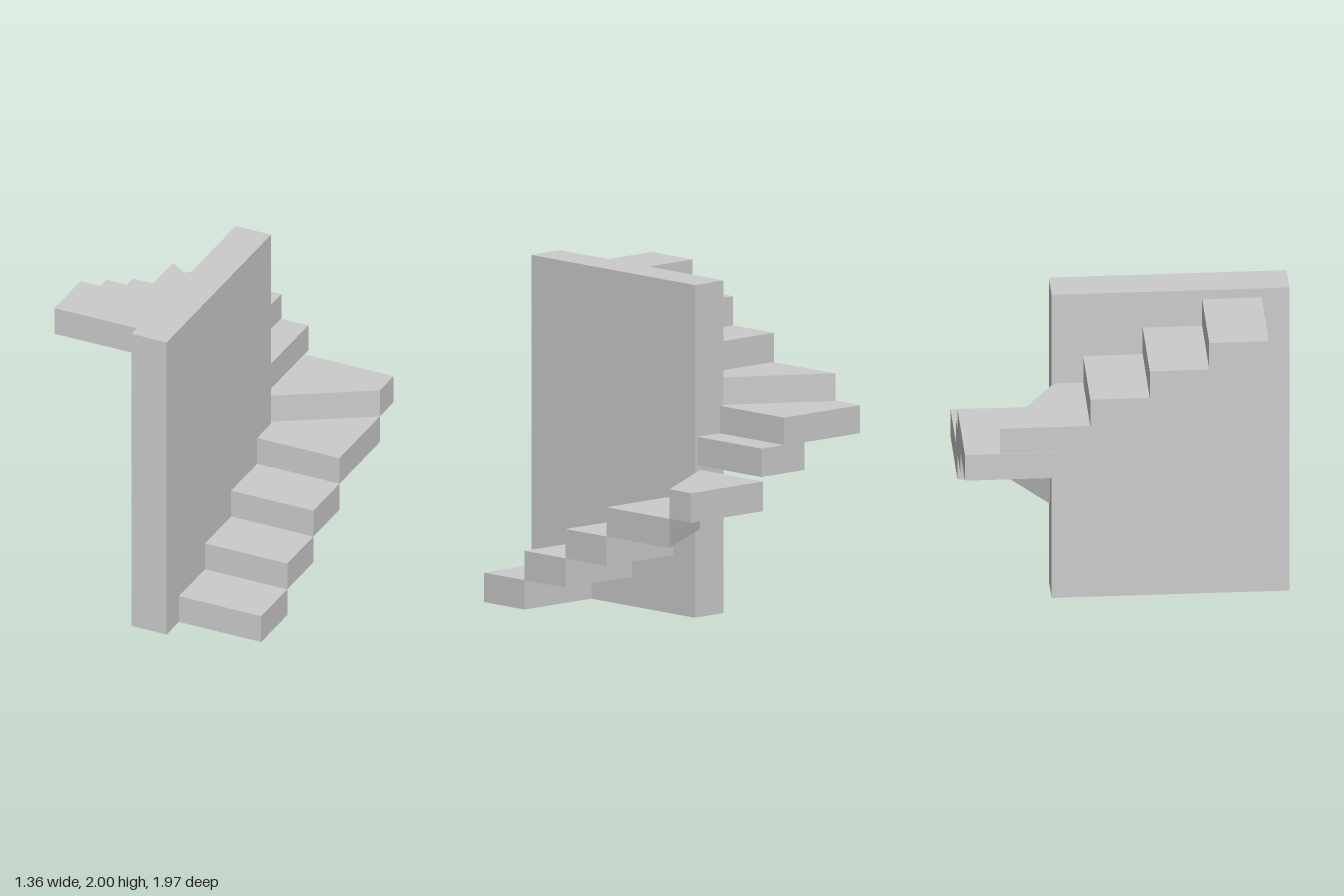
import * as THREE from 'three';

const material = new THREE.MeshStandardMaterial({ color: 0xcccccc, flatShading: true });

// Vertical prism over a plan outline of [x, z] corners, from y0 to y1
function prism(name, plan, y0, y1) {
  const shape = new THREE.Shape(plan.map(([x, z]) => new THREE.Vector2(x, -z)));
  const geometry = new THREE.ExtrudeGeometry(shape, { depth: y1 - y0, bevelEnabled: false });
  geometry.rotateX(-Math.PI / 2).translate(0, y0, 0);
  const mesh = new THREE.Mesh(geometry, material);
  mesh.name = name;
  return mesh;
}

const rect = (x0, x1, z0, z1) => [[x0, z0], [x1, z0], [x1, z1], [x0, z1]];

export function createModel() {
  const model = new THREE.Group();
  model.name = 'windingStaircase';

  // Central wall the stairs turn around
  model.add(prism('wall', rect(-0.095, 0.138, -0.427, 0.985), 0, 2));

  const run = 0.353;

  // Lower flight, climbing towards the back
  const lowerFlight = new THREE.Group();
  lowerFlight.name = 'lowerFlight';
  const lowerRise = 0.1765;
  for (let i = 0; i < 3; i++) {
    const z = 0.82 - i * run;
    lowerFlight.add(prism('lowerStep', rect(0.095, 0.68, z - run, z), i * lowerRise, (i + 1) * lowerRise));
  }

  // Winder steps and the middle step behind the wall
  const turn = new THREE.Group();
  turn.name = 'turn';
  turn.add(
    prism('lowerWinder', [[0.1, -0.239], [0.68, -0.239], [0.68, -0.785], [0.1, -0.43]], 0.53, 0.706),
    prism('lowerCornerStep', [[0.095, -0.427], [0.68, -0.785], [0.68, -0.972], [0.095, -0.972]], 0.706, 0.884),
    prism('middleStep', rect(-0.235, 0.115, -0.978, -0.42), 0.914, 1.085),
    prism('upperCornerStep', rect(-0.683, -0.065, -0.983, -0.4), 1.082, 1.25),
    prism('upperWinder', [[-0.09, -0.239], [-0.678, -0.239], [-0.678, -0.775], [-0.09, -0.41]], 1.245, 1.415),
  );

  // Upper flight, climbing back to the front
  const upperFlight = new THREE.Group();
  upperFlight.name = 'upperFlight';
  const upperRise = 0.175;
  for (let i = 0; i < 3; i++) {
    const z = -0.239 + i * run;
    const y = 1.415 + i * upperRise;
    upperFlight.add(prism('upperStep', rect(-0.682, -0.09, z, z + run), y, y + upperRise));
  }

  model.add(lowerFlight, turn, upperFlight);
  return model;
}
